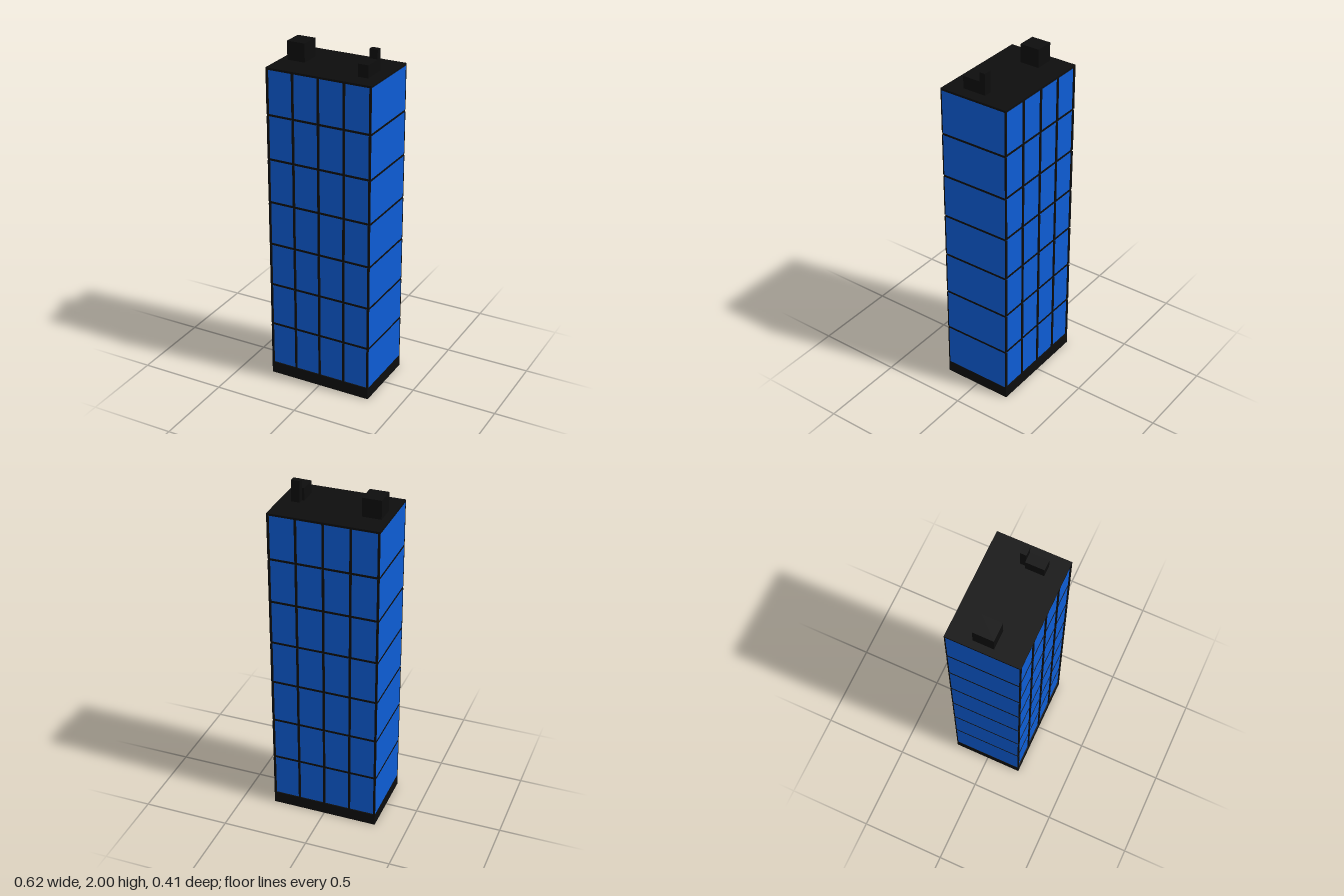
import * as THREE from 'three';

export function createModel() {
  const model = new THREE.Group();
  const black = new THREE.MeshStandardMaterial({ color: 0x0d0d0d });
  const blue = new THREE.MeshStandardMaterial({ color: 0x0d5cd4 });

  // Box given by its min and max corners
  function block(name, material, [x0, y0, z0], [x1, y1, z1], parent = model) {
    const mesh = new THREE.Mesh(new THREE.BoxGeometry(x1 - x0, y1 - y0, z1 - z0), material);
    mesh.position.set((x0 + x1) / 2, (y0 + y1) / 2, (z0 + z1) / 2);
    mesh.name = name;
    parent.add(mesh);
  }

  const halfW = 0.312, halfD = 0.207, glassD = 0.2;
  const baseTop = 0.07, roofTop = 1.877, slab = 0.012;
  const floors = 7, bays = 4;
  const storey = (roofTop - slab - baseTop) / floors;

  // Plinth and roof
  block('base', black, [-halfW, 0, -halfD], [halfW, baseTop, halfD]);
  block('roof', black, [-halfW, roofTop - slab, -halfD], [halfW, roofTop, halfD]);

  // Storeys: glass volume, mullions on front and back, slab between floors
  for (let f = 0; f < floors; f++) {
    const floor = new THREE.Group();
    floor.name = 'floor' + (f + 1);
    model.add(floor);
    const y0 = baseTop + f * storey + (f > 0 ? slab / 2 : 0);
    const y1 = baseTop + (f + 1) * storey - (f < floors - 1 ? slab / 2 : 0);
    block('glass', blue, [-halfW + 0.001, y0, -glassD], [halfW - 0.001, y1, glassD], floor);

    for (const side of [-1, 1]) {
      const z0 = side > 0 ? glassD : -halfD;
      for (let b = 0; b <= bays; b++) {
        const x = (b / bays - 0.5) * 2 * (halfW - 0.006);
        block('mullion', black, [x - 0.006, y0, z0], [x + 0.006, y1, z0 + halfD - glassD], floor);
      }
    }
    if (f < floors - 1) {
      block('slab', black, [-halfW, y1, -glassD - 0.002], [halfW, y1 + slab, glassD + 0.002], floor);
    }
  }

  // Rooftop equipment
  block('plantRoom', black, [-0.272, roofTop, -0.07], [-0.165, 1.983, 0.046]);
  block('ventHousing', black, [0.184, roofTop, 0.005], [0.245, 1.948, 0.11]);
  block('chimney', black, [0.197, roofTop, -0.028], [0.245, 2, 0.005]);

  return model;
}
